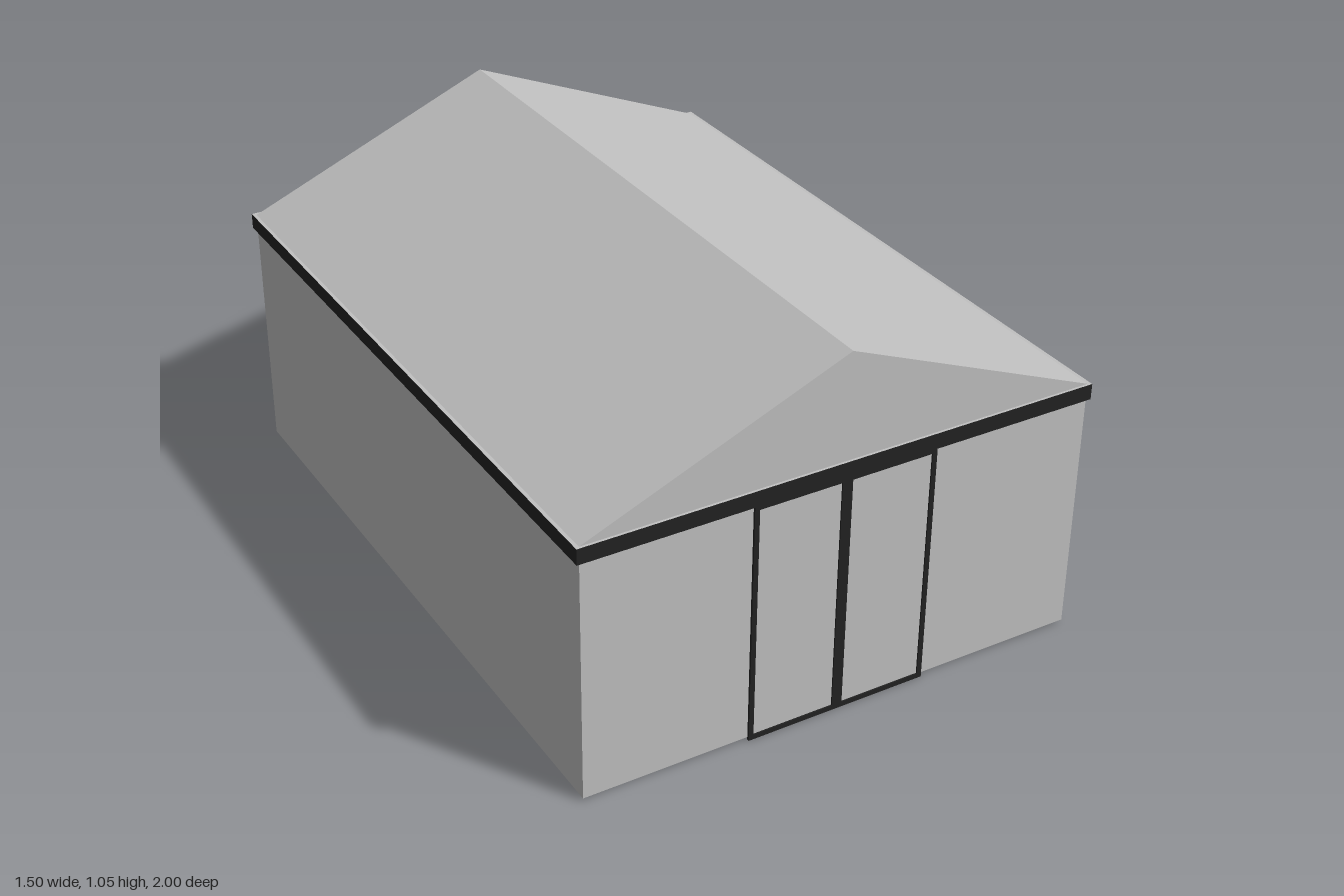
import * as THREE from 'three';

export function createModel() {
  const model = new THREE.Group();
  const panel = new THREE.MeshStandardMaterial({ color: 0xc0c0c0 });
  panel.name = 'light grey panel';
  const trim = new THREE.MeshStandardMaterial({ color: 0x222222 });
  trim.name = 'dark trim';

  const add = (name, geometry, material, x, y, z) => {
    const mesh = new THREE.Mesh(geometry, material);
    mesh.name = name;
    mesh.position.set(x, y, z);
    model.add(mesh);
    return mesh;
  };

  const back = -0.987, front = 0.993, length = front - back;
  const middle = (front + back) / 2;
  const halfWidth = 0.74, eaves = 0.75, ridge = 1.055;

  // Walls and floor
  add('walls', new THREE.BoxGeometry(halfWidth * 2, 0.7, length), panel, 0, 0.358, middle);

  // Band around the eaves: dark sides, light top and underside
  add('eavesBand', new THREE.BoxGeometry(1.5, 0.045, 2),
    [trim, trim, panel, panel, trim, trim], 0, 0.7275, 0);

  // Gabled roof
  const gable = new THREE.Shape();
  gable.moveTo(-halfWidth, eaves);
  gable.lineTo(halfWidth, eaves);
  gable.lineTo(0, ridge);
  gable.closePath();
  add('roof', new THREE.ExtrudeGeometry(gable, { depth: length, bevelEnabled: false }),
    panel, 0, 0, back);

  // Rectangle outline, used for the door frame and its two openings
  const rectangle = (path, x0, x1, y0, y1) => {
    path.moveTo(x0, y0);
    path.lineTo(x1, y0);
    path.lineTo(x1, y1);
    path.lineTo(x0, y1);
    path.closePath();
    return path;
  };

  // Double door frame
  const frame = rectangle(new THREE.Shape(), -0.267, 0.267, 0, 0.706);
  frame.holes.push(
    rectangle(new THREE.Path(), -0.253, -0.015, 0.014, 0.694),
    rectangle(new THREE.Path(), 0.015, 0.253, 0.014, 0.694));
  add('doorFrame', new THREE.ExtrudeGeometry(frame, { depth: 0.007, bevelEnabled: false }),
    trim, 0, 0, 0.9925);

  // Door leaves
  for (const [side, name] of [[-1, 'rightDoor'], [1, 'leftDoor']]) {
    add(name, new THREE.BoxGeometry(0.238, 0.68, 0.004), panel, side * 0.134, 0.354, 0.9935);
  }

  return model;
}
